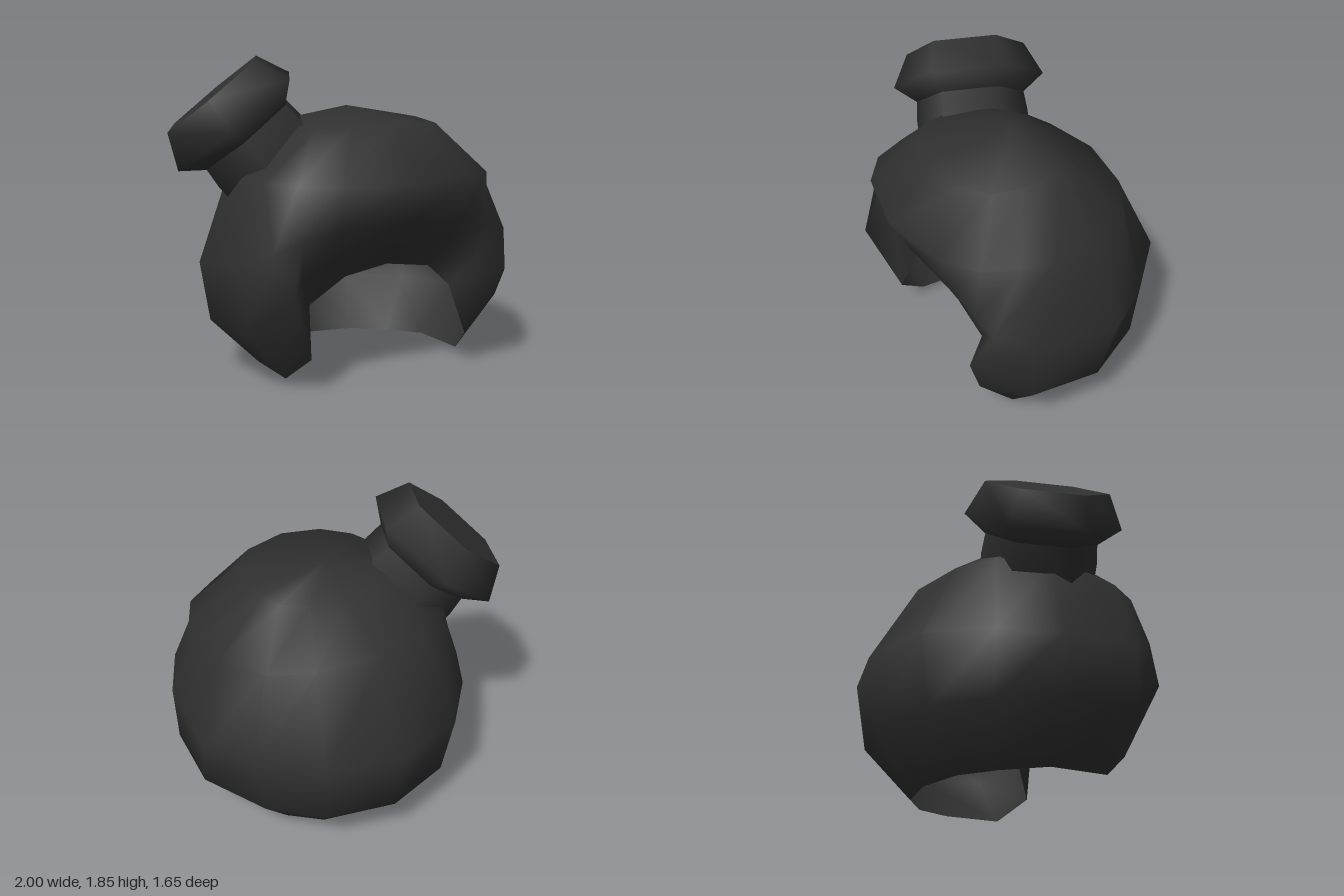
import * as THREE from 'three';

const CX = 0.09; // the hair is symmetric about this x

// Strands from crown to rim, going from front centre round the side to the back: [dx, y, z]
const STRANDS = [
  [[0, 1.49, 0.56], [0, 1.175, 0.82], [0, 0.95, 0.71], [0, 0.8, 0.6], [0, 0.675, 0.5]],
  [[0.25, 1.47, 0.52], [0.42, 1.18, 0.74], [0.4, 0.93, 0.67], [0.35, 0.77, 0.59], [0.28, 0.635, 0.51]],
  [[0.4, 1.46, 0.38], [0.62, 1.18, 0.6], [0.61, 0.87, 0.63], [0.58, 0.67, 0.57], [0.475, 0.48, 0.45]],
  [[0.44, 1.465, 0.22], [0.72, 1.18, 0.4], [0.76, 0.83, 0.6], [0.69, 0.61, 0.71], [0.52, 0.2, 0.56]],
  [[0.45, 1.475, 0.1], [0.75, 1.18, 0.2], [0.87, 0.72, 0.41], [0.86, 0.36, 0.41], [0.59, 0.045, 0.375]],
  [[0.44, 1.48, -0.02], [0.74, 1.185, -0.06], [0.91, 0.66, -0.11], [0.885, 0.33, -0.02], [0.59, 0.03, 0]],
  [[0.38, 1.46, -0.12], [0.6, 1.2, -0.34], [0.73, 0.68, -0.41], [0.68, 0.31, -0.41], [0.46, 0.005, -0.25]],
  [[0.22, 1.44, -0.18], [0.36, 1.21, -0.48], [0.44, 0.7, -0.715], [0.41, 0.3, -0.65], [0.28, 0, -0.4]],
  [[0, 1.41, -0.22], [0, 1.22, -0.54], [0, 0.7, -0.83], [0, 0.29, -0.755], [0, 0, -0.46]],
];

// Hollow shell: mirrored strands joined into closed rings below the crown
function hairShell() {
  const mirrored = STRANDS.slice(1, -1).reverse().map(s => s.map(([x, y, z]) => [-x, y, z]));
  const strands = [...STRANDS, ...mirrored];
  const n = strands.length, rows = STRANDS[0].length;
  const pos = [CX, 1.555, 0.02], index = [];
  for (let i = 0; i < rows; i++) {
    for (const s of strands) pos.push(CX + s[i][0], s[i][1], s[i][2]);
  }
  const id = (i, j) => 1 + i * n + (j % n);
  for (let j = 0; j < n; j++) {
    index.push(0, id(0, j), id(0, j + 1));
    for (let i = 0; i < rows - 1; i++) {
      const a = id(i, j), b = id(i, j + 1), c = id(i + 1, j), d = id(i + 1, j + 1);
      index.push(a, c, b, b, c, d);
    }
  }
  const g = new THREE.BufferGeometry();
  g.setAttribute('position', new THREE.Float32BufferAttribute(pos, 3));
  g.setIndex(index);
  g.computeVertexNormals();
  return g;
}

export function createModel() {
  const model = new THREE.Group();
  const hair = new THREE.MeshStandardMaterial({ color: 0x303030, side: THREE.DoubleSide });
  hair.name = 'darkHair';

  const add = (parent, name, geometry) => {
    const mesh = new THREE.Mesh(geometry, hair);
    mesh.name = name;
    parent.add(mesh);
    return mesh;
  };
  const lathe = pts => new THREE.LatheGeometry(pts.map(p => new THREE.Vector2(...p)), 6);

  add(model, 'hairShell', hairShell());

  // Six-sided bun, tilted to the model's right; origin at the centre of its flat top
  const bun = new THREE.Group();
  bun.name = 'bun';
  const axis = new THREE.Vector3(-0.59, 0.775, -0.23).normalize();
  const corner = new THREE.Vector3(0.29, 0.22, -0.05);
  corner.addScaledVector(axis, -corner.dot(axis)).normalize();
  const side = new THREE.Vector3().crossVectors(axis, corner);
  bun.quaternion.setFromRotationMatrix(new THREE.Matrix4().makeBasis(side, axis, corner));
  bun.position.set(-0.71, 1.64, -0.12);
  model.add(bun);

  add(bun, 'bunSides', lathe([[0.335, -0.3], [0.465, -0.2], [0.365, 0]]));
  add(bun, 'bunTop', new THREE.CircleGeometry(0.365, 6).rotateX(-Math.PI / 2).rotateY(Math.PI / 6));
  add(bun, 'bunNeck', lathe([[0.34, -0.55], [0.345, -0.42], [0.33, -0.28]]));

  return model;
}
